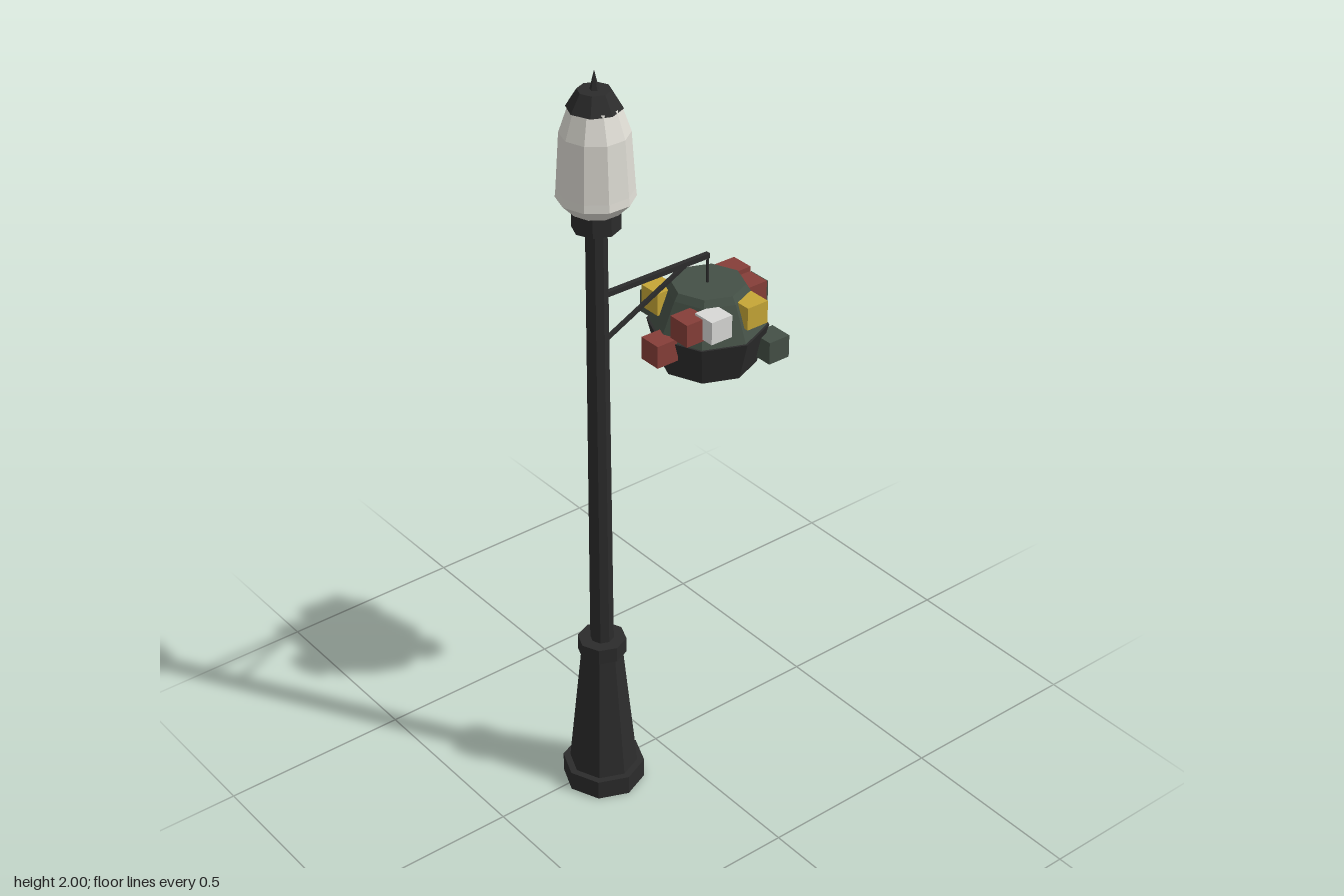
import * as THREE from 'three';

const material = (name, color) => {
  const m = new THREE.MeshStandardMaterial({ color, flatShading: true });
  m.name = name;
  return m;
};

export function createModel() {
  const iron = material('dark iron', 0x2c2c2c);
  const glass = material('frosted glass', 0xdedcd4);
  const leaf = material('leaf green', 0x445046);
  const red = material('petal red', 0x863e38);
  const yellow = material('petal yellow', 0xc6a636);
  const white = material('petal white', 0xd8d8d6);

  const model = new THREE.Group();
  model.name = 'streetLamp';

  const add = (parent, name, geometry, mat, x = 0, y = 0, z = 0) => {
    const mesh = new THREE.Mesh(geometry, mat);
    mesh.name = name;
    mesh.position.set(x, y, z);
    parent.add(mesh);
    return mesh;
  };
  // upright tapered prism between two heights
  const prism = (parent, name, mat, r0, r1, y0, y1, sides = 8) =>
    add(parent, name, new THREE.CylinderGeometry(r1, r0, y1 - y0, sides), mat, 0, (y0 + y1) / 2, 0);
  const lathe = (points, sides) =>
    new THREE.LatheGeometry(points.map(([r, y]) => new THREE.Vector2(r, y)), sides);

  // Lamp post, stacked from the ground up
  const post = new THREE.Group();
  post.name = 'lampPost';
  post.position.set(-0.191, 0, 0.022);
  model.add(post);
  prism(post, 'basePlate', iron, 0.106, 0.106, 0, 0.053);
  prism(post, 'taperedFoot', iron, 0.088, 0.053, 0.053, 0.405);
  prism(post, 'footCollar', iron, 0.062, 0.062, 0.403, 0.445);
  prism(post, 'pole', iron, 0.03, 0.026, 0.44, 1.62);
  prism(post, 'lampCollar', iron, 0.058, 0.058, 1.61, 1.66);

  // Ten-sided lantern glass with a cap and finial
  const globe = lathe([[0, 1.655], [0.062, 1.658], [0.093, 1.69], [0.091, 1.71], [0.082, 1.85], [0.06, 1.915], [0, 1.915]], 10);
  globe.rotateY(Math.PI / 2);
  add(post, 'lanternGlass', globe, glass);
  prism(post, 'lanternCap', iron, 0.066, 0.04, 1.91, 1.953);
  prism(post, 'finial', iron, 0.012, 0, 1.95, 2, 5);

  // Bracket arm, diagonal brace and hanging wire
  const bracket = new THREE.Group();
  bracket.name = 'bracket';
  bracket.position.z = 0.022;
  model.add(bracket);
  add(bracket, 'arm', new THREE.BoxGeometry(0.333, 0.013, 0.013), iron, -0.0235, 1.427, 0);
  const dx = 0.25, dy = 0.122;
  const brace = add(bracket, 'brace', new THREE.BoxGeometry(Math.hypot(dx, dy), 0.009, 0.009), iron, -0.055, 1.361, 0);
  brace.rotation.z = Math.atan2(dy, dx);
  add(bracket, 'hangingWire', new THREE.BoxGeometry(0.005, 0.09, 0.005), iron, 0.141, 1.385, 0);

  // Hanging basket with a faceted mound of leaves
  const basket = new THREE.Group();
  basket.name = 'hangingBasket';
  basket.position.set(0.143, 0, 0.022);
  model.add(basket);
  prism(basket, 'basketBowl', iron, 0.122, 0.15, 1.14, 1.245);
  add(basket, 'foliage', lathe([[0.145, 1.243], [0.104, 1.335], [0.092, 1.353], [0, 1.353]], 8), leaf);

  // Blocky flowers and leaves around the rim: material, x, y, z
  const blooms = [
    [leaf, 0.123, 1.232, -0.146], [white, 0.205, 1.265, -0.117],
    [yellow, 0.06, 1.306, -0.06], [red, 0.186, 1.304, -0.038],
    [red, 0.262, 1.306, -0.028], [leaf, 0.265, 1.292, 0.035],
    [red, 0.246, 1.306, 0.052], [leaf, 0.25, 1.19, 0.135],
    [yellow, 0.184, 1.306, 0.128], [white, 0.073, 1.306, 0.128],
    [red, 0.026, 1.3, 0.093], [red, -0.012, 1.227, 0.03],
  ];
  const block = new THREE.BoxGeometry(0.0625, 0.06, 0.0625);
  for (const [mat, x, y, z] of blooms) add(model, mat === leaf ? 'leafClump' : 'flower', block, mat, x, y, z);

  return model;
}
